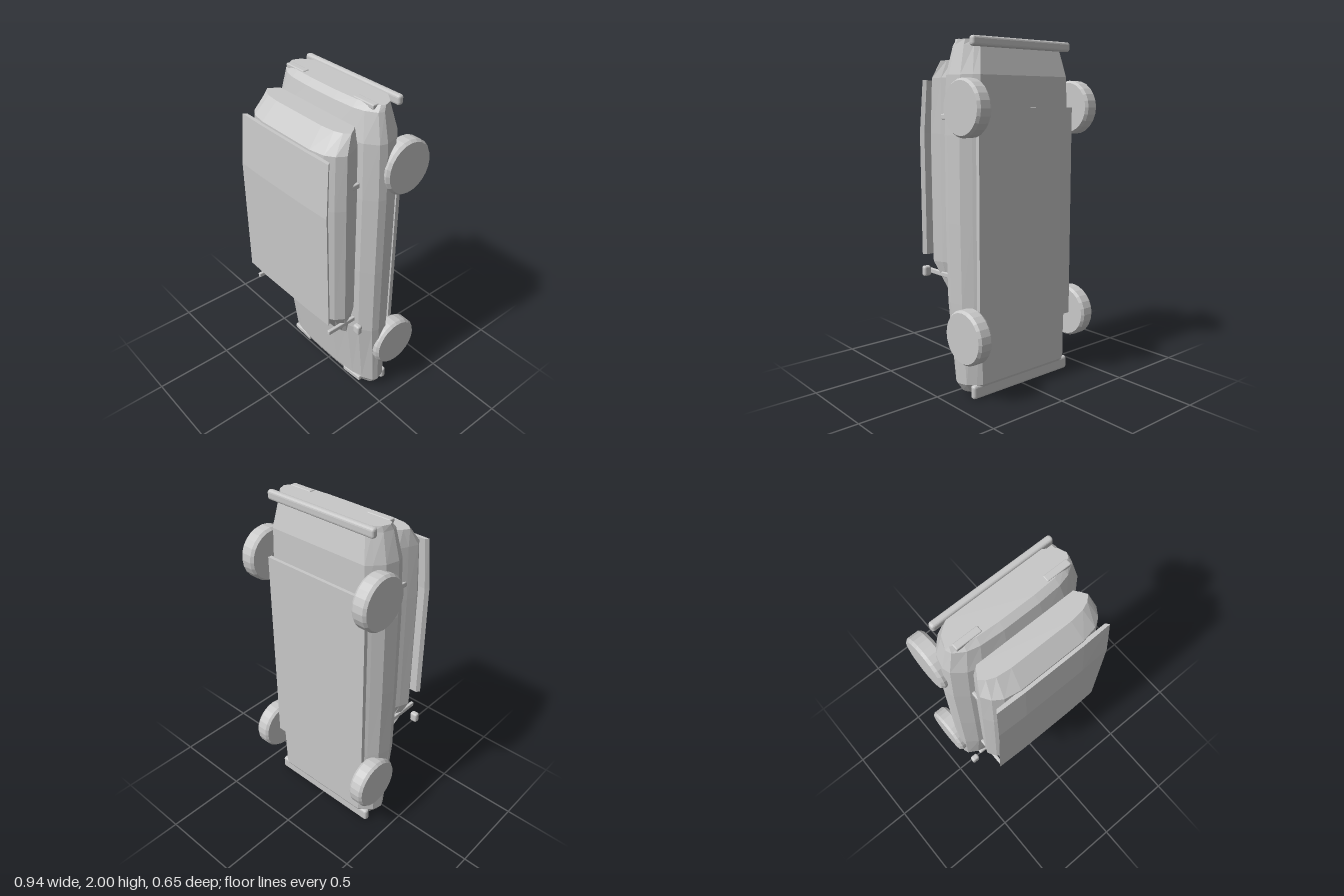
import * as THREE from 'three';
import { RoundedBoxGeometry } from 'three/addons/geometries/RoundedBoxGeometry.js';

const paint = new THREE.MeshStandardMaterial({ color: 0xc8c8c8, flatShading: true });
paint.name = 'light grey';

// Closed flat-sided shell through rings of [x, z] points stacked along y
function loft(rings) {
  const pos = [];
  const n = rings[0].pts.length;
  const push = (...list) => list.forEach(([r, i]) => {
    const p = r.pts[i % n];
    pos.push(p[0], r.y, p[1]);
  });
  for (let k = 0; k < rings.length - 1; k++) {
    const a = rings[k], b = rings[k + 1];
    for (let i = 0; i < n; i++) {
      push([a, i], [a, i + 1], [b, i + 1], [a, i], [b, i + 1], [b, i]);
    }
  }
  const first = rings[0], last = rings[rings.length - 1];
  for (let i = 1; i < n - 1; i++) {
    push([first, 0], [first, i + 1], [first, i]);
    push([last, 0], [last, i], [last, i + 1]);
  }
  const g = new THREE.BufferGeometry();
  g.setAttribute('position', new THREE.Float32BufferAttribute(pos, 3));
  g.computeVertexNormals();
  return g;
}

// Mirrored section: half holds [x, height 0..1] from top to bottom
function ring(half, [y, sx, bottom, top]) {
  const right = half.map(([x, t]) => [x * sx, bottom + t * (top - bottom)]);
  const left = right.map(([x, z]) => [-x, z]).reverse();
  return { y, pts: [...right, ...left] };
}

export function createModel() {
  const model = new THREE.Group();
  const add = (name, geometry, x = 0, y = 0, z = 0) => {
    const m = new THREE.Mesh(geometry, paint);
    m.name = name;
    m.position.set(x, y, z);
    model.add(m);
    return m;
  };
  const bar = (w, h, d, r) => new RoundedBoxGeometry(w, h, d, 2, r);

  // Lower body, nose down
  const bodyHalf = [[0.12, 1], [0.27, 0.96], [0.345, 0.88], [0.412, 0.7],
    [0.425, 0.55], [0.405, 0.28], [0.36, 0.1], [0.33, 0]];
  add('body', loft([
    [0.015, 0.82, -0.13, -0.02],
    [0.03, 0.87, -0.16, 0.0],
    [0.08, 0.95, -0.185, 0.025],
    [0.55, 0.99, -0.19, 0.09],
    [1.0, 1, -0.19, 0.1],
    [1.48, 1, -0.19, 0.1],
    [1.8, 0.97, -0.185, 0.095],
    [1.955, 0.88, -0.15, 0.058],
    [1.985, 0.86, -0.14, 0.022],
  ].map((s) => ring(bodyHalf, s))));

  // Cabin with sloping windscreen and rear window
  const cabinHalf = [[0.2, 1], [0.29, 0.92], [0.34, 0.76], [0.372, 0.52], [0.35, 0.25], [0.325, 0]];
  add('cabin', loft([
    [0.55, 0.83, 0.085, 0.155],
    [0.74, 1, 0.085, 0.293],
    [1.48, 1, 0.085, 0.302],
    [1.79, 0.98, 0.085, 0.287],
    [1.885, 0.91, 0.085, 0.2],
  ].map((s) => ring(cabinHalf, s))));

  // Thin flared roof panel
  const roofHalf = [[0.19, 1], [0.366, 0.8], [0.35, 0]];
  add('roofPanel', loft([
    [0.76, 1.01, 0.291, 0.318],
    [1.48, 1, 0.3, 0.328],
    [1.78, 0.97, 0.282, 0.306],
  ].map((s) => ring(roofHalf, s))));

  // Floor plate between the axles
  add('floorPlate', new THREE.BoxGeometry(0.7, 1.25, 0.025), 0, 1.0, -0.195);

  // Bumpers and nose plate
  add('rearBumper', bar(0.725, 0.055, 0.038, 0.015), 0, 1.9725, -0.158);
  add('frontBumper', bar(0.74, 0.08, 0.038, 0.015), 0, 0.04, -0.158);
  add('nosePlate', new THREE.BoxGeometry(0.3, 0.008, 0.07), 0, 0.012, -0.085);

  // Wheels with chamfered rims
  const r = 0.156, h = 0.047;
  const wheel = new THREE.LatheGeometry([
    [0, -h], [r - 0.012, -h], [r, -h + 0.016], [r, h - 0.016], [r - 0.012, h], [0, h],
  ].map(([x, y]) => new THREE.Vector2(x, y)), 24).rotateZ(Math.PI / 2);

  for (const [side, s] of [['left', 1], ['right', -1]]) {
    add(side + 'FrontWheel', wheel, s * 0.398, 0.378, -0.168);
    add(side + 'RearWheel', wheel, s * 0.398, 1.625, -0.168);
    add(side + 'Mirror', bar(0.046, 0.06, 0.035, 0.012), s * 0.446, 0.7, 0.162);
    add(side + 'Pillar', bar(0.02, 0.03, 0.198, 0.006), s * 0.337, 0.664, 0.19);
    add(side + 'DoorHandle', bar(0.02, 0.032, 0.055, 0.006), s * 0.337, 1.576, 0.115);
    add(side + 'TailLight', bar(0.147, 0.025, 0.038, 0.006), s * 0.267, 1.978, -0.008);
    const lamp = add(side + 'Headlight', bar(0.155, 0.034, 0.03, 0.008), s * 0.25, 0.068, 0.008);
    lamp.rotation.z = s * 0.1;
  }
  return model;
}
